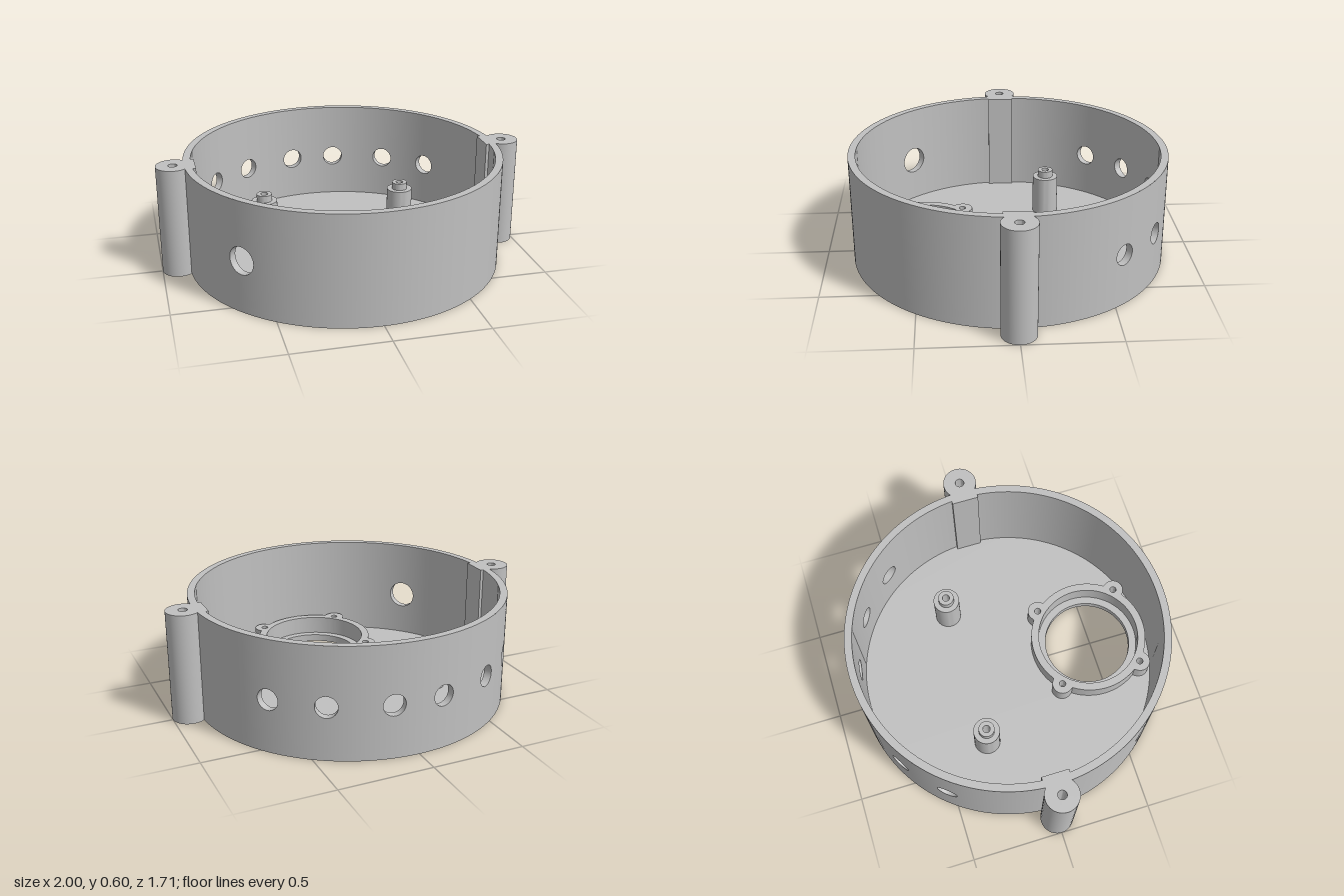
import * as THREE from 'three';
import { mergeGeometries, toCreasedNormals } from 'three/addons/utils/BufferGeometryUtils.js';
import { ParametricGeometry } from 'three/addons/geometries/ParametricGeometry.js';

const OUTER = 0.855, INNER = 0.815, HEIGHT = 0.6, FLOOR = 0.04;
const PANEL = 9; // half width in degrees of a wall panel around a hole
const HOLE_Y = 0.285;
const rad = THREE.MathUtils.degToRad, lerp = THREE.MathUtils.lerp;

// Drilled holes, as [degrees from the front towards +x, radius]
const HOLES = [...[129, 149, 171, 189, 211, 231].map(a => [a, 0.057]), [311, 0.075]];

const onCylinder = (target, radius, angle, y) =>
  target.set(radius * Math.sin(angle), y, radius * Math.cos(angle));

// Unpierced stretch of wall, facing outwards or inwards
function plainPanel(radius, from, to, inward) {
  return new ParametricGeometry((u, v, p) =>
    onCylinder(p, radius, rad(lerp(from, to, u)), lerp(FLOOR, HEIGHT, inward ? 1 - v : v)),
  Math.ceil((to - from) / 2), 1);
}

// Wall panel running from a round hole out to a rectangular edge
function holedPanel(radius, angle, r, inward) {
  return new ParametricGeometry((u, v, p) => {
    const a = u * Math.PI * 2, c = Math.cos(a), s = Math.sin(a);
    const m = Math.max(Math.abs(c), Math.abs(s));
    const t = inward ? v : 1 - v;
    const edgeY = lerp(FLOOR, HEIGHT, (s / m + 1) / 2);
    const turn = lerp(Math.asin(r * c / radius), rad(PANEL) * c / m, t);
    onCylinder(p, radius, rad(angle) + turn, lerp(HOLE_Y + r * s, edgeY, t));
  }, 64, 6);
}

// Lining of a hole through the wall
function holeLining(angle, r) {
  return new ParametricGeometry((u, v, p) => {
    const a = u * Math.PI * 2, d = r * Math.cos(a);
    const x = R => Math.asin(d / R) + rad(angle);
    const outer = onCylinder(new THREE.Vector3(), OUTER, x(OUTER), HOLE_Y + r * Math.sin(a));
    onCylinder(p, INNER, x(INNER), HOLE_Y + r * Math.sin(a));
    p.lerp(outer, 1 - v);
  }, 64, 1);
}

function wallGeometry() {
  const parts = [];
  HOLES.forEach(([angle, r], i) => {
    const next = i + 1 < HOLES.length ? HOLES[i + 1][0] : HOLES[0][0] + 360;
    for (const [radius, inward] of [[OUTER, false], [INNER, true]]) {
      parts.push(holedPanel(radius, angle, r, inward));
      if (next - angle > 2 * PANEL) {
        parts.push(plainPanel(radius, angle + PANEL, next - PANEL, inward));
      }
    }
    parts.push(holeLining(angle, r));
  });
  const rim = new THREE.RingGeometry(INNER, OUTER, 180);
  rim.rotateX(-Math.PI / 2).translate(0, HEIGHT, 0);
  parts.push(rim);
  return mergeGeometries(parts);
}

// Flat plan shape raised from y0 by the given height
function raise(shape, y0, height) {
  const g = new THREE.ExtrudeGeometry(shape, { depth: height, bevelEnabled: false, curveSegments: 90 });
  g.rotateX(-Math.PI / 2).translate(0, y0, 0);
  return toCreasedNormals(g, 0.6);
}

function circlePath(x, y, r) {
  return new THREE.Path().absarc(x, y, r, 0, Math.PI * 2, true);
}

function turned(points, segments = 48) {
  const g = new THREE.LatheGeometry(points.map(p => new THREE.Vector2(...p)), segments);
  return toCreasedNormals(g, 0.6);
}

// Collar outline: a circle with four round screw lugs on the diagonals
function collarShape() {
  const R = 0.325, lug = 0.057, pts = [];
  for (let i = 0; i < 240; i++) {
    const a = i / 240 * Math.PI * 2;
    const d = (a % (Math.PI / 2)) - Math.PI / 4;
    const q = lug * lug - (R * Math.sin(d)) ** 2;
    const r = q > 0 ? Math.max(R, R * Math.cos(d) + Math.sqrt(q)) : R;
    pts.push(new THREE.Vector2(r * Math.cos(a), r * Math.sin(a)));
  }
  const shape = new THREE.Shape(pts);
  shape.holes.push(circlePath(0, 0, 0.283));
  for (const sx of [-1, 1]) for (const sy of [-1, 1]) {
    shape.holes.push(circlePath(sx * 0.23, sy * 0.23, 0.018));
  }
  return shape;
}

export function createModel() {
  const model = new THREE.Group();
  model.name = 'roundHousing';
  const grey = new THREE.MeshStandardMaterial({ color: 0xc0c0c0 });
  grey.name = 'light grey';

  const add = (name, geometry, x = 0, y = 0, z = 0) => {
    const mesh = new THREE.Mesh(geometry, grey);
    mesh.name = name;
    mesh.position.set(x, y, z);
    model.add(mesh);
  };

  // Floor with the large round opening
  const floor = new THREE.Shape().absarc(0, 0, OUTER, 0, Math.PI * 2, false);
  floor.holes.push(circlePath(0, -0.48, 0.242));
  add('floor', raise(floor, 0, FLOOR));

  // Round wall with its drilled holes
  add('wall', wallGeometry());

  // Collar around the opening
  add('openingCollar', raise(collarShape(), FLOOR, 0.1), 0, 0, 0.48);

  // Screw ears, their inner backing blocks and the stepped posts
  const ear = turned([[0, 0], [0.09, 0], [0.09, HEIGHT], [0.024, HEIGHT], [0.024, 0.2], [0, 0.2]]);
  const block = new THREE.BoxGeometry(0.045, HEIGHT - FLOOR, 0.145);
  const post = turned([[0.072, FLOOR], [0.072, 0.258], [0.043, 0.258], [0.043, 0.297],
    [0.02, 0.297], [0.02, 0.06], [0, 0.06]]);
  for (const [side, s] of [['left', 1], ['right', -1]]) {
    add(side + 'ScrewEar', ear, s * 0.91);
    add(side + 'EarBacking', block, s * 0.8175, (HEIGHT + FLOOR) / 2);
    add(side + 'Post', post, s * 0.398, 0, -0.243);
  }
  return model;
}
